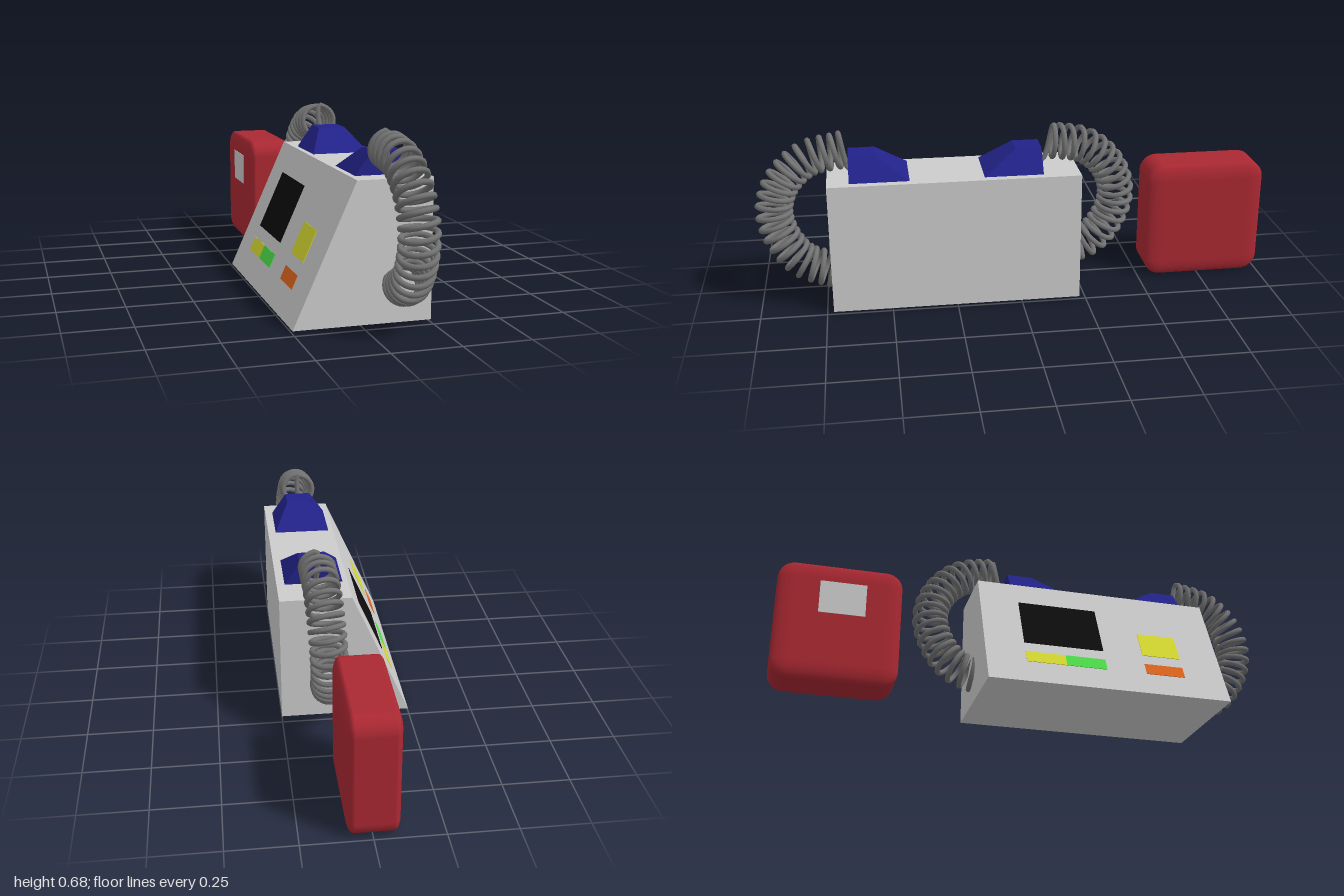
import * as THREE from 'three';
import { RoundedBoxGeometry } from 'three/addons/geometries/RoundedBoxGeometry.js';

const GREY = 0xcccccc, RED = 0xaa2832, BLUE = 0x22228a, COIL = 0x727272;
const BLACK = 0x0c0c0c, YELLOW = 0xd8dc30, GREEN = 0x4ee04a, ORANGE = 0xe0661e;

function addMesh(parent, name, geometry, color, flatShading = false) {
  const mesh = new THREE.Mesh(geometry, new THREE.MeshStandardMaterial({ color, flatShading }));
  mesh.name = name;
  parent.add(mesh);
  return mesh;
}

// Wedge cabinet with one sloping side
const BOTTOM = 0.01, TOP = 0.515, SLOPE_FOOT = -0.25, SLOPE_HEAD = -0.025;
function cabinetGeometry() {
  const shape = new THREE.Shape([
    new THREE.Vector2(SLOPE_FOOT, BOTTOM), new THREE.Vector2(0.25, BOTTOM),
    new THREE.Vector2(0.25, TOP), new THREE.Vector2(SLOPE_HEAD, TOP),
  ]);
  return new THREE.ExtrudeGeometry(shape, { depth: 0.95, bevelEnabled: false }).translate(0, 0, -0.225);
}

// Thin plate lying on the sloping side, given its x and z extents
const GRADIENT = (TOP - BOTTOM) / (SLOPE_HEAD - SLOPE_FOOT);
function addSlopePanel(parent, name, color, x0, x1, z0, z1) {
  const x = (x0 + x1) / 2;
  const length = (x1 - x0) * Math.hypot(1, GRADIENT);
  const panel = addMesh(parent, name, new THREE.BoxGeometry(length, 0.004, z1 - z0), color);
  panel.position.set(x, BOTTOM + (x - SLOPE_FOOT) * GRADIENT, (z0 + z1) / 2);
  panel.rotation.z = Math.atan(GRADIENT);
}

// Cable socket: a box whose top shrinks on three sides, leaving the outer side upright
function socketGeometry() {
  const geometry = new THREE.BoxGeometry(0.225, 0.086, 0.225);
  const p = geometry.attributes.position;
  for (let i = 0; i < p.count; i++) {
    if (p.getY(i) < 0) continue;
    p.setX(i, p.getX(i) * 0.46);
    if (p.getZ(i) < 0) p.setZ(i, 0.0125);
  }
  geometry.computeVertexNormals();
  return geometry;
}

// Coiled cable: straight lead, then a helix wound around an arched centre line
const TURNS = 20, STEPS = 14, COIL_RADIUS = 0.062, WIRE_RADIUS = 0.0105;
function cableGeometry(side, shift, endX, lead) {
  const profile = [[0.66, 0.61], [0.80, 0.58], [0.895, 0.49], [0.928, 0.38], [0.9, 0.27], [0.83, 0.18], [0.715, 0.135]];
  const centre = new THREE.CatmullRomCurve3(profile.map(([z, y], i) =>
    new THREE.Vector3(0.1 + (endX - 0.1) * i / (profile.length - 1), y, 0.25 + side * (z - 0.25) + shift)));
  const points = lead.map(([y, z]) => new THREE.Vector3(0.1, y, z));
  for (let i = 0; i <= TURNS * STEPS; i++) {
    const t = i / (TURNS * STEPS), angle = t * TURNS * Math.PI * 2;
    const tangent = centre.getTangentAt(t);
    const outward = new THREE.Vector3(0, tangent.z * side, -tangent.y * side).normalize();
    const across = new THREE.Vector3().crossVectors(tangent, outward);
    points.push(centre.getPointAt(t)
      .addScaledVector(outward, Math.cos(angle) * COIL_RADIUS)
      .addScaledVector(across, Math.sin(angle) * COIL_RADIUS));
  }
  const path = new THREE.CatmullRomCurve3(points);
  path.arcLengthDivisions = 2000;
  return new THREE.TubeGeometry(path, TURNS * 28, WIRE_RADIUS, 8);
}

export function createModel() {
  const model = new THREE.Group();
  model.name = 'device';

  // Cabinet and the display plates on its slope
  addMesh(model, 'cabinet', cabinetGeometry(), GREY);
  addSlopePanel(model, 'screen', BLACK, -0.165, -0.07, -0.07, 0.245);
  addSlopePanel(model, 'yellowStrip', YELLOW, -0.207, -0.185, -0.07, 0.086);
  addSlopePanel(model, 'greenStrip', GREEN, -0.207, -0.185, 0.086, 0.245);
  addSlopePanel(model, 'yellowButton', YELLOW, -0.165, -0.115, 0.405, 0.56);
  addSlopePanel(model, 'orangeButton', ORANGE, -0.207, -0.185, 0.405, 0.56);

  // Sockets on the cabinet top
  const frontSocket = addMesh(model, 'frontSocket', socketGeometry(), BLUE, true);
  frontSocket.position.set(0.107, 0.557, 0.53);
  const backSocket = addMesh(model, 'backSocket', socketGeometry(), BLUE, true);
  backSocket.position.set(0.107, 0.557, 0.028);
  backSocket.rotation.y = Math.PI;

  // Coiled cables from the sockets down to the cabinet ends
  addMesh(model, 'frontCable', cableGeometry(1, 0, 0.137, [[0.53, 0.635], [0.54, 0.645]]), COIL);
  addMesh(model, 'backCable', cableGeometry(-1, 0.035, 0.065, [[0.53, -0.08], [0.535, -0.1]]), COIL);

  // Separate rounded case with a small plate
  const rounded = addMesh(model, 'case', new RoundedBoxGeometry(0.47, 0.47, 0.47, 5, 0.065), RED);
  rounded.scale.x = 0.4;
  rounded.position.set(-0.003, 0.235, -0.765);
  const plate = addMesh(model, 'casePlate', new THREE.BoxGeometry(0.004, 0.13, 0.175), GREY);
  plate.position.set(-0.097, 0.33, -0.755);

  return model;
}
